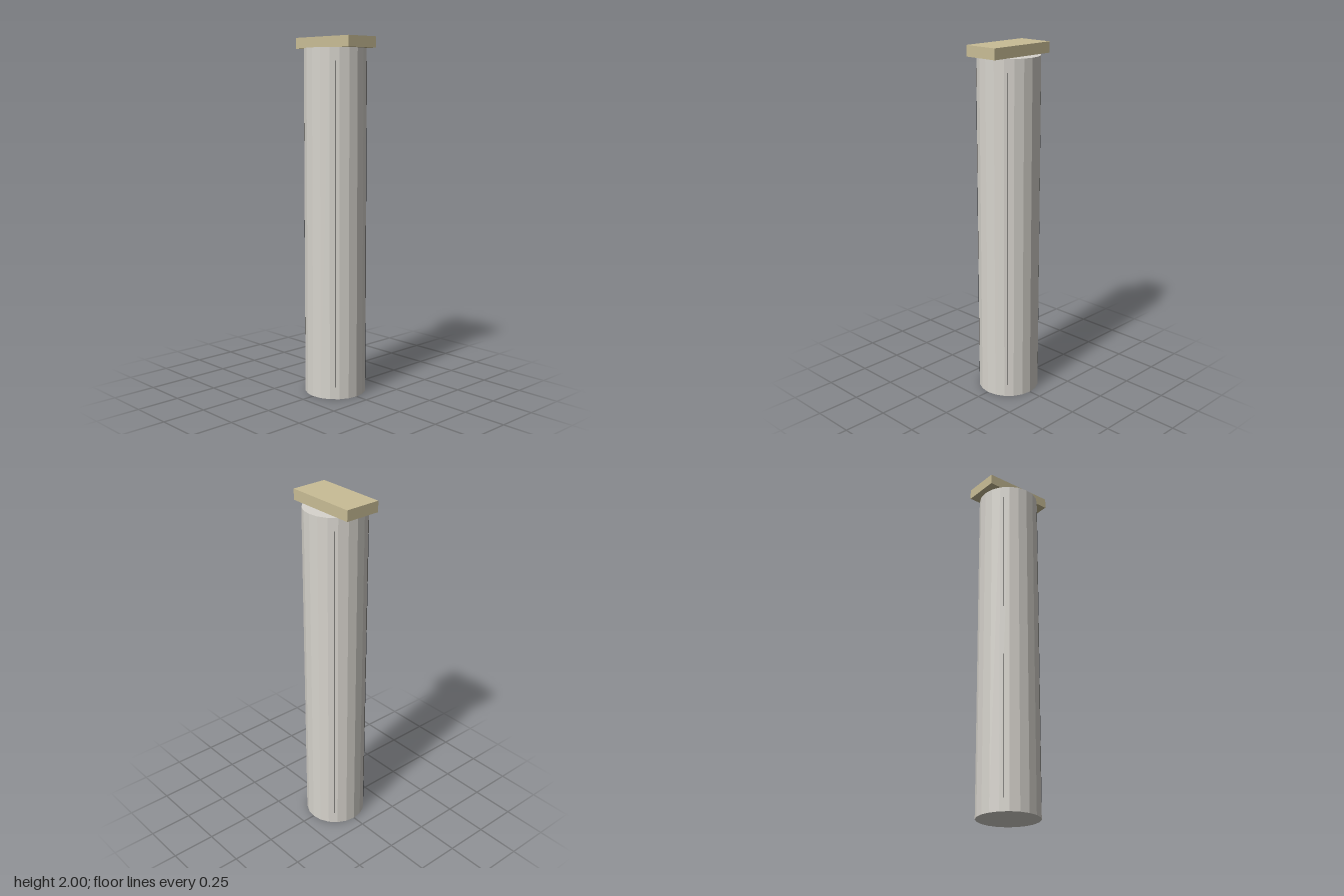
import * as THREE from 'three';

export function createModel() {
  const group = new THREE.Group();
  const add = (name, geometry, color, x, y, z, extra = {}) => {
    const mesh = new THREE.Mesh(geometry, new THREE.MeshStandardMaterial({ color, ...extra }));
    mesh.name = name;
    mesh.position.set(x, y, z);
    group.add(mesh);
    return mesh;
  };

  // Twenty-sided upright column
  add('column', new THREE.CylinderGeometry(0.173, 0.173, 1.94, 20), 0xd7d4cd, 0, 0.97, 0, { flatShading: true });

  // Flat rectangular bar resting on the column
  add('topBar', new THREE.BoxGeometry(0.416, 0.06, 0.206), 0xc9bd96, 0, 1.97, 0);

  // Thin dark side panels whose long edges just show through the column
  for (const side of [1, -1]) {
    const panel = add('sidePanel', new THREE.PlaneGeometry(0.238, 1.8), 0x333333, side * 0.126, 0.97, 0, { side: THREE.DoubleSide });
    panel.rotation.y = side * Math.PI / 2;
  }
  return group;
}
